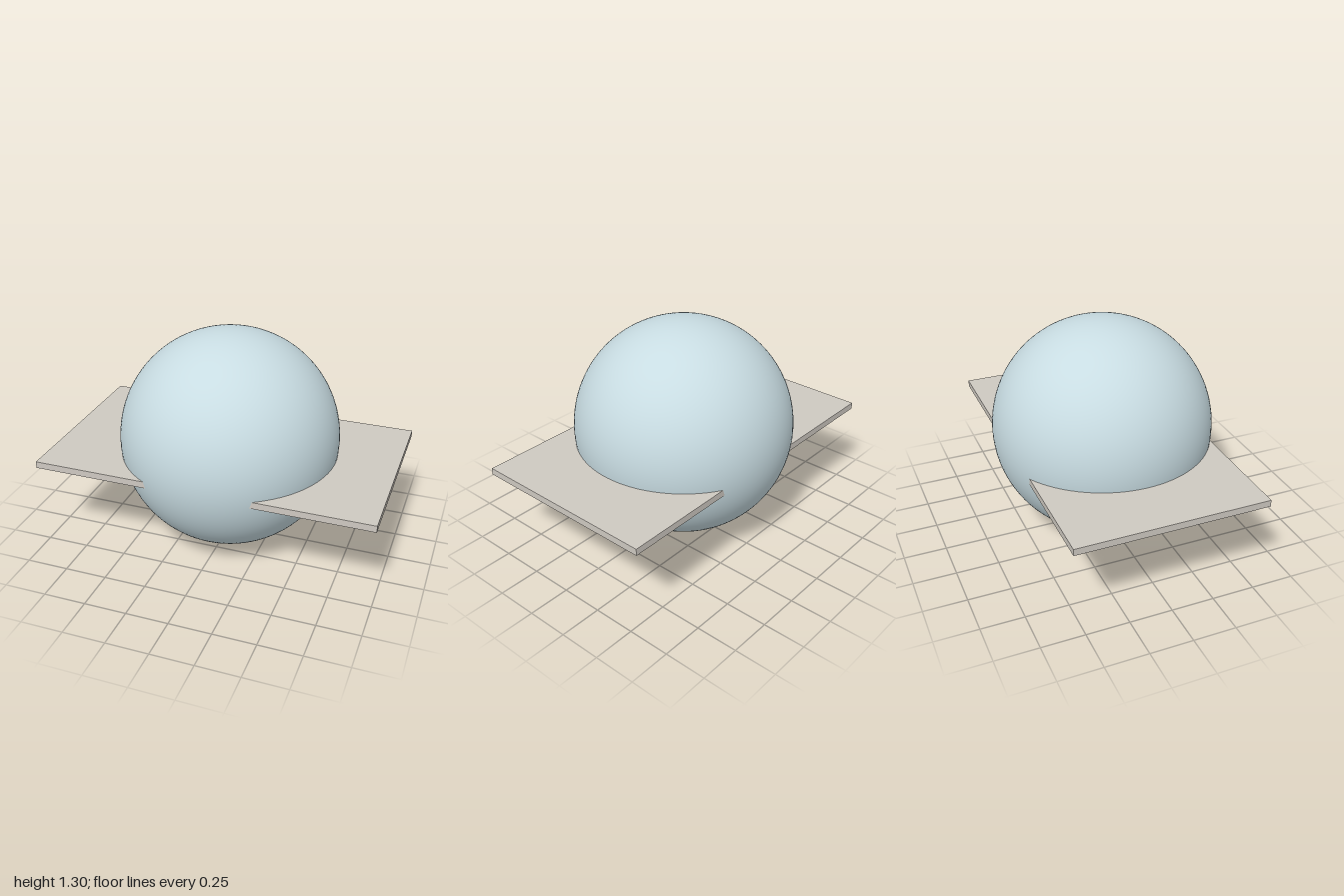
import * as THREE from 'three';

export function createModel() {
  const model = new THREE.Group();

  const paleBlue = new THREE.MeshStandardMaterial({ color: 0xc8dce2 });
  paleBlue.name = 'paleBlue';
  const warmGrey = new THREE.MeshStandardMaterial({ color: 0xcec9c1 });
  warmGrey.name = 'warmGrey';

  // Smooth ball resting on the ground
  const radius = 0.65;
  const ball = new THREE.Mesh(new THREE.SphereGeometry(radius, 96, 64), paleBlue);
  ball.name = 'ball';
  ball.position.y = radius;
  model.add(ball);

  // Flat plate passing through the ball just below its middle
  const plate = new THREE.Mesh(new THREE.BoxGeometry(2, 0.04, 1.12), warmGrey);
  plate.name = 'plate';
  plate.position.y = 0.55;
  model.add(plate);

  return model;
}
